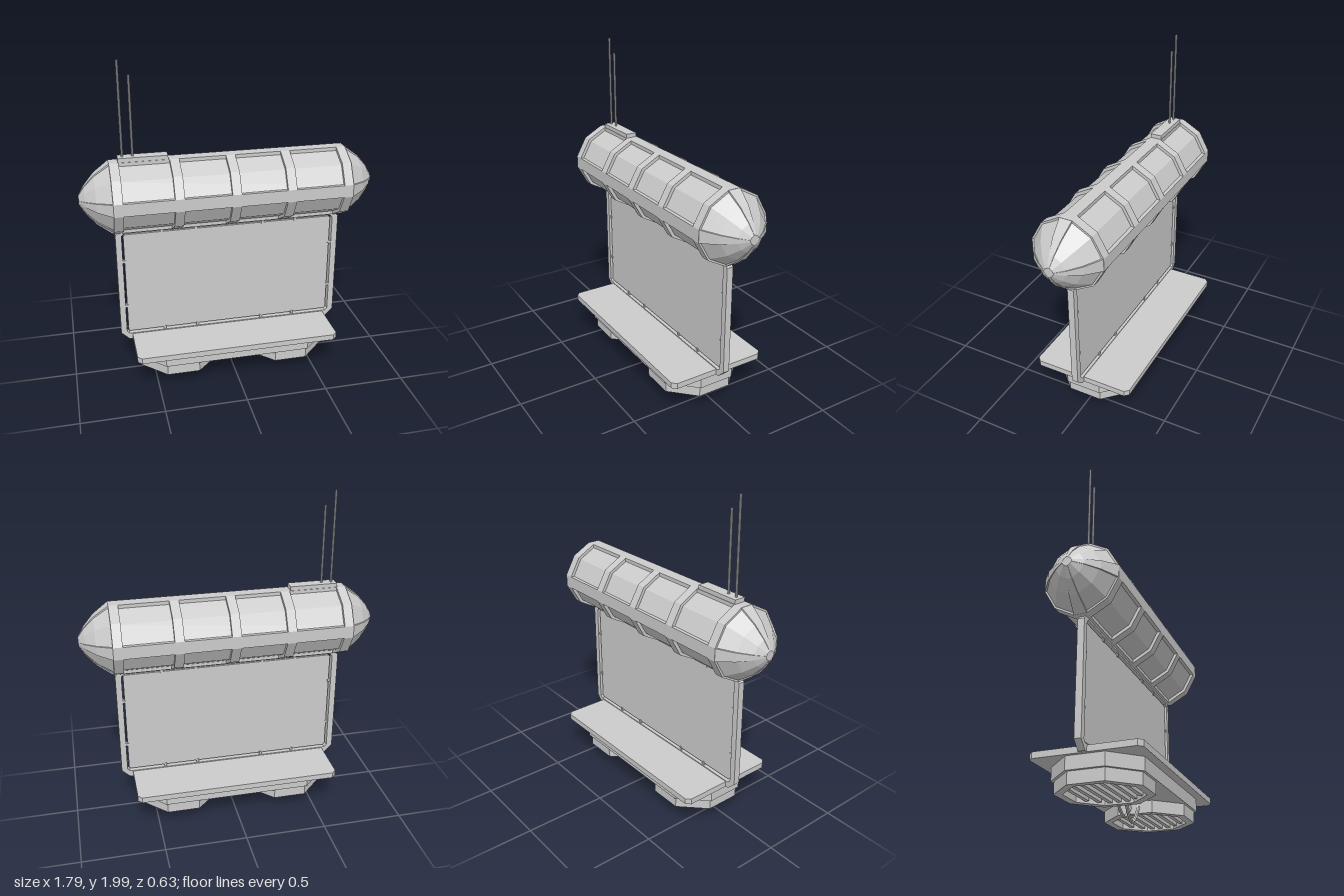
import * as THREE from 'three';

const mat = new THREE.MeshStandardMaterial({ color: 0xcccccc, flatShading: true });

function add(parent, name, geo, x = 0, y = 0, z = 0) {
  const m = new THREE.Mesh(geo, mat);
  m.name = name;
  m.position.set(x, y, z);
  parent.add(m);
  return m;
}
const box = (w, h, d) => new THREE.BoxGeometry(w, h, d);

// Rectangle with cut corners
function cutRect(hx, hy, c, Type = THREE.Shape) {
  const p = [[hx, -hy + c], [hx, hy - c], [hx - c, hy], [-hx + c, hy],
    [-hx, hy - c], [-hx, -hy + c], [-hx + c, -hy], [hx - c, -hy]];
  return new Type(p.map(([x, y]) => new THREE.Vector2(x, y)));
}
const extrude = (shape, depth) => new THREE.ExtrudeGeometry(shape, { depth, bevelEnabled: false });
const slab = (shape, h) => extrude(shape, h).rotateX(-Math.PI / 2);

// Loft a convex (y, z) loop along x, scaled at each station [x, scale]
function loft(loop, stations) {
  const pos = [], n = loop.length;
  const pt = (i, j) => {
    const [x, s] = stations[i], [y, z] = loop[j % n];
    return [x, y * s, z * s];
  };
  const tri = (...v) => v.forEach(p => pos.push(...p));
  const last = stations.length - 1;
  for (let i = 0; i < last; i++) {
    for (let j = 0; j < n; j++) {
      tri(pt(i, j), pt(i, j + 1), pt(i + 1, j + 1));
      tri(pt(i, j), pt(i + 1, j + 1), pt(i + 1, j));
    }
  }
  for (let j = 1; j < n - 1; j++) {
    tri(pt(0, 0), pt(0, j + 1), pt(0, j));
    tri(pt(last, 0), pt(last, j), pt(last, j + 1));
  }
  const g = new THREE.BufferGeometry();
  g.setAttribute('position', new THREE.Float32BufferAttribute(pos, 3));
  g.computeVertexNormals();
  return g;
}

function buildTank() {
  const tank = new THREE.Group();
  tank.name = 'tank';
  tank.position.y = 1.2;

  // Twelve-sided section made of four turned quarters
  const loop = [];
  let quarter = [[0.22, 0.038], [0.155, 0.155], [0.038, 0.22]].slice(0, 2);
  quarter.push([0.038, 0.22]);
  for (let q = 0; q < 4; q++) {
    loop.push(...quarter);
    quarter = quarter.map(([y, z]) => [-z, y]);
  }
  // Drop the doubled middle corners: each quarter owns three distinct points
  const nose = [[0.71, 1], [0.8, 0.7], [0.86, 0.39], [0.895, 0.13]];
  const stations = [...nose.map(([x, s]) => [-x, s]).reverse(), ...nose];
  const inset = [...nose.map(([x, s]) => [-x, s * 0.95]).reverse(),
    [-0.67, 0.91], [0.67, 0.91], ...nose.map(([x, s]) => [x, s * 0.95])];
  add(tank, 'tankHull', loft(loop, inset));

  // Raised lengthwise strips, tapering onto the noses
  const strip = [[0.22, -0.038], [0.22, 0.038], [0.15, 0.038], [0.15, -0.038]];
  for (let k = 0; k < 4; k++) {
    add(tank, 'tankStrip', loft(strip, stations)).rotation.x = k * Math.PI / 2;
  }

  // Ribs
  for (const x of [-0.683, -0.333, 0, 0.333, 0.683]) {
    add(tank, 'tankRib', loft(loop, [[x - 0.028, 1], [x + 0.028, 1]]));
  }

  // Antennas and their mount
  add(tank, 'antennaMount', box(0.29, 0.05, 0.07), -0.513, 0.22, 0);
  for (const [x, top] of [[-0.63, 0.8], [-0.57, 0.715]]) {
    const h = top - 0.22;
    add(tank, 'antenna', new THREE.CylinderGeometry(0.007, 0.007, h, 8), x, 0.22 + h / 2, 0);
  }
  return tank;
}

function buildScreen() {
  const screen = new THREE.Group();
  screen.name = 'screen';
  screen.position.y = 0.623;

  // Frame with cut corners
  const outline = cutRect(0.7, 0.386, 0.05);
  outline.holes.push(cutRect(0.663, 0.345, 0.015, THREE.Path));
  add(screen, 'screenFrame', extrude(outline, 0.04), 0, 0, -0.02);
  add(screen, 'screenPanel', extrude(cutRect(0.652, 0.333, 0.01), 0.018), 0, 0, -0.009);

  // Clips holding the panel in the frame
  for (const s of [-1, 1]) {
    for (const x of [-0.42, -0.21, 0.21, 0.42]) {
      add(screen, 'clip', box(0.016, 0.024, 0.026), x, s * 0.337, 0);
    }
    for (const y of [-0.153, 0.153]) {
      add(screen, 'clip', box(0.024, 0.016, 0.026), s * 0.656, y, 0);
    }
  }
  return screen;
}

function buildBase() {
  const base = new THREE.Group();
  base.name = 'base';
  add(base, 'deck', slab(cutRect(0.63, 0.315, 0.025), 0.036), 0, 0.236, 0);
  add(base, 'upperTier', slab(cutRect(0.608, 0.265, 0.155), 0.077), 0, 0.16, 0);

  // Octagonal pods with slatted undersides
  for (const s of [-1, 1]) {
    const pod = new THREE.Group();
    pod.name = 'pod';
    pod.position.set(s * 0.345, 0.09, 0);
    const ring = cutRect(0.245, 0.25, 0.145);
    const inner = 0.205, cut = 0.12;
    ring.holes.push(cutRect(inner, inner, cut, THREE.Path));
    add(pod, 'podRim', slab(ring, 0.071));
    for (let i = -3; i <= 3; i++) {
      const z = i * 0.052;
      const half = inner - Math.max(0, Math.abs(z) + 0.012 - (inner - cut));
      add(pod, 'slat', box(half * 2, 0.03, 0.024), 0, 0.025, z);
    }
    base.add(pod);
  }

  // Cables sagging between the pods
  for (const [z, low] of [[0.02, 0.019], [-0.03, 0.055]]) {
    const curve = new THREE.CatmullRomCurve3([-0.12, -0.095, -0.05, 0, 0.05, 0.095, 0.12].map(x =>
      new THREE.Vector3(x, low + (0.14 - low) * Math.pow(Math.abs(x) / 0.11, 1.6), z)));
    add(base, 'cable', new THREE.TubeGeometry(curve, 14, 0.01, 6));
  }
  return base;
}

export function createModel() {
  const model = new THREE.Group();
  model.name = 'hoveringScreen';
  model.add(buildTank(), buildScreen(), buildBase());
  return model;
}
